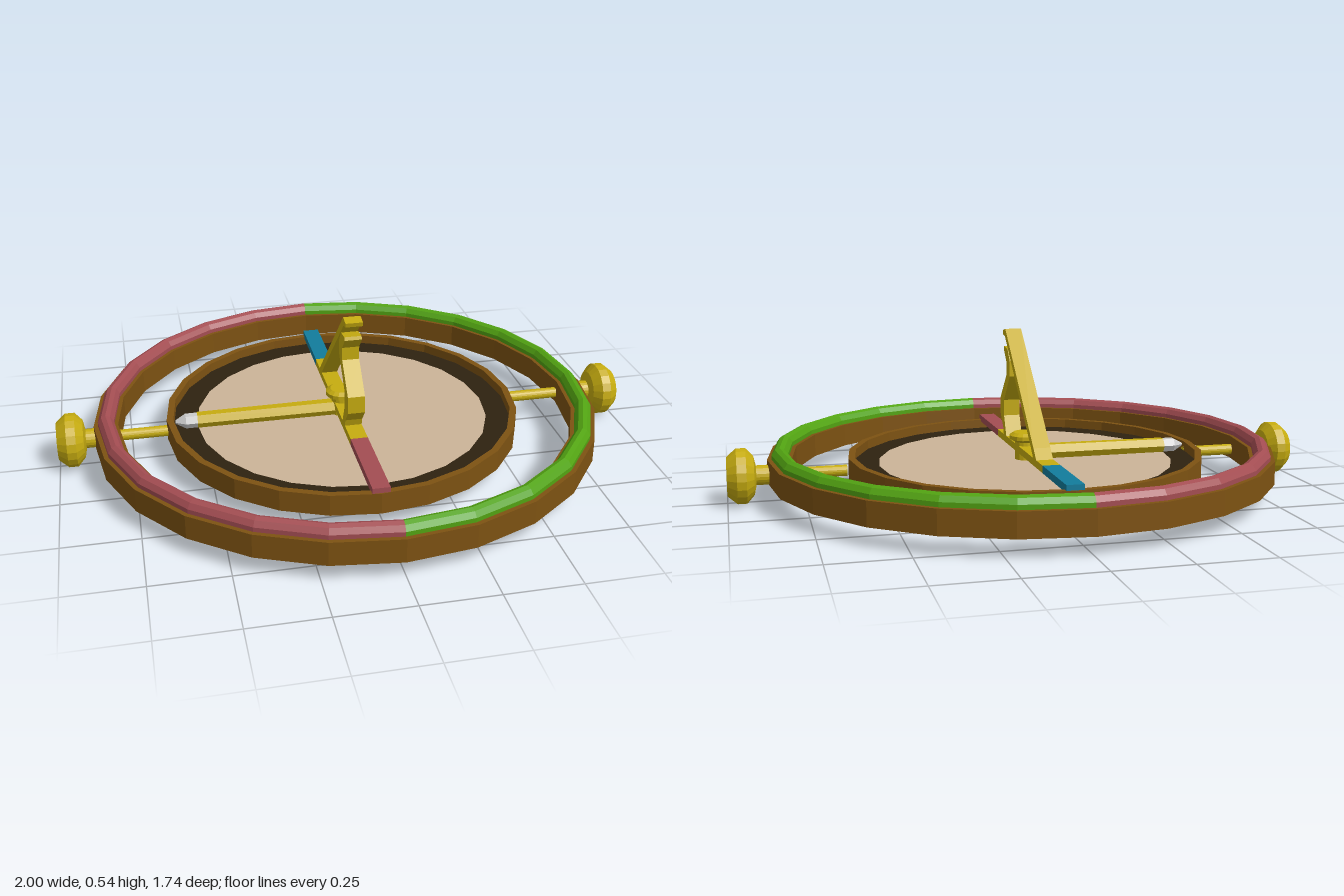
import * as THREE from 'three';

const mat = (color) => new THREE.MeshStandardMaterial({ color, flatShading: true, side: THREE.DoubleSide });
const V = (pts) => pts.map(([x, y]) => new THREE.Vector2(x, y));
const SIDES = 24;

export function createModel() {
  const model = new THREE.Group();
  model.name = 'sightingCompass';
  const brown = mat(0x7d5212), dark = mat(0x2e2210), beige = mat(0xccb498);
  const brass = mat(0xc6ac10), red = mat(0xa34d52), green = mat(0x52a312);
  const blue = mat(0x127c9c), silver = mat(0xc0c0c0);

  const add = (name, geometry, material, x = 0, y = 0, z = 0) => {
    const mesh = new THREE.Mesh(geometry, material);
    mesh.name = name;
    mesh.position.set(x, y, z);
    model.add(mesh);
    return mesh;
  };
  // Closed band revolved about the vertical axis
  const band = (rIn, rOut, y0, y1) =>
    new THREE.LatheGeometry(V([[rIn, y0], [rOut, y0], [rOut, y1], [rIn, y1], [rIn, y0]]), SIDES);

  // Outer ring with a two-coloured rounded scale on top
  const ox = -0.004;
  add('outerRing', band(0.79, 0.872, 0.06, 0.14), brown, ox);
  const scale = V([[0.857, 0.135], [0.857, 0.155], [0.845, 0.172], [0.83, 0.178],
    [0.815, 0.172], [0.803, 0.155], [0.803, 0.135]]);
  add('scaleLeft', new THREE.LatheGeometry(scale, SIDES / 2, 0, Math.PI), green, ox);
  add('scaleRight', new THREE.LatheGeometry(scale, SIDES / 2, Math.PI, Math.PI), red, ox);

  // Inner ring and dial plate
  const cx = -0.015, cz = -0.01;
  add('innerRing', band(0.592, 0.615, 0.06, 0.132), brown, cx, 0, cz);
  add('dialBorder', band(0.51, 0.594, 0.09, 0.1), dark, cx, 0, cz);
  add('dialPlate', new THREE.CylinderGeometry(0.512, 0.512, 0.009, SIDES), beige, cx, 0.095, cz);

  // Pivot rods with end knobs, one per side
  const knob = V([[0, 0.605], [0.019, 0.605], [0.019, 0.8], [0.033, 0.8], [0.033, 0.905],
    [0.065, 0.912], [0.0925, 0.937], [0.0925, 0.968], [0.065, 1], [0, 1]]);
  for (const s of [-1, 1]) {
    const k = add(s > 0 ? 'pivotKnobLeft' : 'pivotKnobRight', new THREE.LatheGeometry(knob, 20), brass, 0, 0.0925, cz);
    k.rotation.z = -s * Math.PI / 2;
  }

  // Crossbar in three coloured lengths
  const bars = [['crossbarBack', -0.62, -0.35, blue], ['crossbarMiddle', -0.35, 0.28, brass], ['crossbarFront', 0.28, 0.6, red]];
  for (const [name, z0, z1, m] of bars)
    add(name, new THREE.BoxGeometry(0.058, 0.025, z1 - z0), m, cx, 0.1375, (z0 + z1) / 2);

  // Sight arms: side profiles in (z, y), extruded across x
  const arm = (name, pts) => {
    const geo = new THREE.ExtrudeGeometry(new THREE.Shape(V(pts)), { depth: 0.058, bevelEnabled: false });
    geo.rotateY(-Math.PI / 2);
    add(name, geo, brass, cx + 0.029);
  };
  arm('slantedSight', [[-0.275, 0.145], [-0.235, 0.183], [0.16, 0.538], [0.197, 0.53],
    [0.193, 0.515], [0.165, 0.51], [-0.197, 0.183], [-0.235, 0.145]]);
  arm('curvedSight', [[0.145, 0.145], [0.182, 0.22], [0.182, 0.277], [0.094, 0.375], [0.094, 0.43],
    [0.125, 0.468], [0.178, 0.474], [0.183, 0.463], [0.143, 0.42], [0.143, 0.375],
    [0.235, 0.28], [0.235, 0.22], [0.195, 0.175], [0.185, 0.145]]);

  // Central hub
  add('hub', new THREE.LatheGeometry(V([[0, 0.1], [0.036, 0.1], [0.036, 0.162], [0.055, 0.172],
    [0.055, 0.185], [0.04, 0.195], [0, 0.195]]), 16), brass, cx, 0, cz);

  // Six-sided pointer with a pale tip, reaching to the right
  const pointer = add('pointer', new THREE.CylinderGeometry(0.028, 0.03, 0.51, 6), brass, -0.27, 0.122, cz);
  const tip = add('pointerTip', new THREE.LatheGeometry(
    V([[0.026, 0], [0.026, 0.04], [0.006, 0.075], [0, 0.075]]), 6), silver, -0.525, 0.122, cz);
  pointer.rotation.z = tip.rotation.z = Math.PI / 2;

  return model;
}
